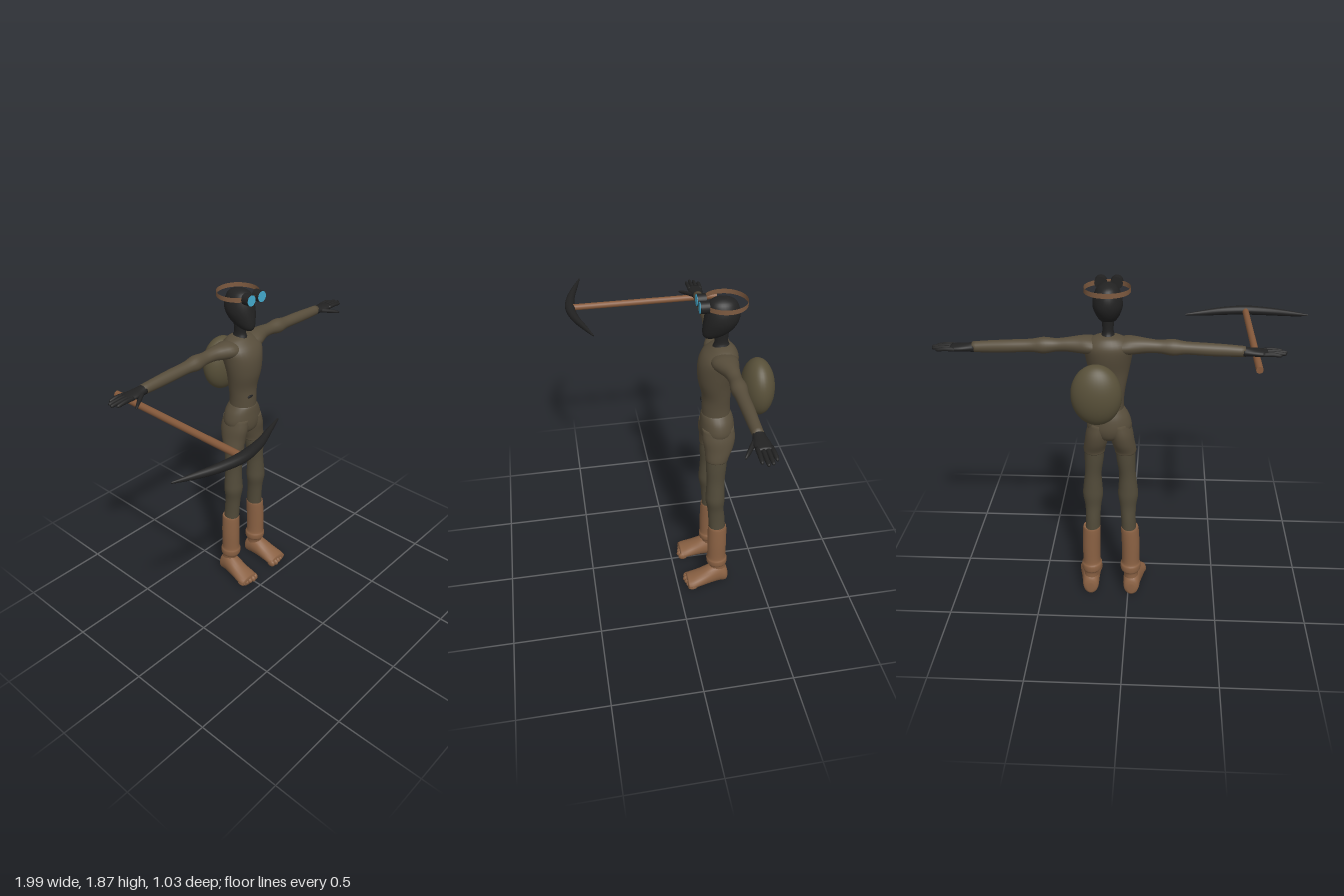
import * as THREE from 'three';

const CX = 0.098; // the figure stands off-centre because of its pickaxe

const mat = (name, color, side = THREE.FrontSide) => {
  const m = new THREE.MeshStandardMaterial({ color, side });
  m.name = name;
  return m;
};

// Smooth capped loft. Each section is [w, cu, cv, ru, rv], w increasing.
// axis y: u = z, v = x; axis x: u = y, v = z; axis z: u = x, v = y.
function loft(axis, sections, seg = 20, sub = 4) {
  const curve = (f) => new THREE.CatmullRomCurve3(sections.map(f), false, 'catmullrom', 0.5);
  const centres = curve((s) => new THREE.Vector3(s[0], s[1], s[2]));
  const radii = curve((s) => new THREE.Vector3(s[3], s[4], 0));
  const n = (sections.length - 1) * sub;
  const pos = [], idx = [];
  const put = (w, u, v) => {
    if (axis === 'y') pos.push(v, w, u);
    else if (axis === 'x') pos.push(w, u, v);
    else pos.push(u, v, w);
  };
  for (let i = 0; i <= n; i++) {
    const c = centres.getPoint(i / n), r = radii.getPoint(i / n);
    for (let j = 0; j < seg; j++) {
      const a = (j / seg) * Math.PI * 2;
      put(c.x, c.y + Math.cos(a) * r.x, c.z + Math.sin(a) * r.y);
    }
  }
  for (let i = 0; i < n; i++) for (let j = 0; j < seg; j++) {
    const a = i * seg + j, b = i * seg + (j + 1) % seg;
    idx.push(a, b, b + seg, a, b + seg, a + seg);
  }
  const first = sections[0], last = sections[sections.length - 1], top = n * seg;
  const base = (n + 1) * seg;
  put(first[0], first[1], first[2]);
  put(last[0], last[1], last[2]);
  for (let j = 0; j < seg; j++) {
    const k = (j + 1) % seg;
    idx.push(base, k, j, base + 1, top + j, top + k);
  }
  const g = new THREE.BufferGeometry();
  g.setAttribute('position', new THREE.Float32BufferAttribute(pos, 3));
  g.setIndex(idx);
  g.computeVertexNormals();
  return g;
}

// Flip a geometry in x, keeping its faces outward
function mirrored(geo) {
  const g = geo.clone();
  const p = g.attributes.position, ix = g.index;
  for (let i = 0; i < p.count; i++) p.setX(i, -p.getX(i));
  for (let i = 0; i < ix.count; i += 3) {
    const t = ix.getX(i + 1);
    ix.setX(i + 1, ix.getX(i + 2));
    ix.setX(i + 2, t);
  }
  g.computeVertexNormals();
  return g;
}

export function createModel() {
  const model = new THREE.Group();
  const olive = mat('olive cloth', 0x574d3b);
  const legging = mat('legging cloth', 0x514a39);
  const black = mat('black', 0x222222);
  const leather = mat('boot leather', 0x8a6143);
  const wood = mat('wood', 0x85593b);
  const strap = mat('strap leather', 0x7d5a40, THREE.DoubleSide);
  const lensBlue = mat('lens blue', 0x45acd0);
  const packCloth = mat('pack cloth', 0x585039);

  const body = new THREE.Group();
  body.name = 'body';
  body.position.x = CX;
  model.add(body);

  const add = (name, geo, material, parent = body) => {
    const m = new THREE.Mesh(geo, material);
    m.name = name;
    parent.add(m);
    return m;
  };
  const pair = (name, geo, material) => {
    add(name + 'Left', geo, material);
    add(name + 'Right', mirrored(geo), material);
  };

  // Torso and hips
  add('torso', loft('y', [
    [1.17, -0.225, 0, 0.078, 0.076], [1.24, -0.222, 0, 0.076, 0.077], [1.31, -0.222, 0, 0.077, 0.086],
    [1.40, -0.213, 0, 0.09, 0.104], [1.49, -0.222, 0, 0.102, 0.121], [1.55, -0.235, 0, 0.093, 0.128],
    [1.59, -0.245, 0, 0.062, 0.085], [1.607, -0.245, 0, 0.035, 0.035],
  ], 28), olive);
  add('hips', loft('y', [
    [1.01, -0.23, 0, 0.035, 0.03], [1.04, -0.23, 0, 0.078, 0.085], [1.09, -0.232, 0, 0.093, 0.119],
    [1.15, -0.23, 0, 0.09, 0.107], [1.19, -0.225, 0, 0.081, 0.082], [1.20, -0.225, 0, 0.072, 0.072],
  ], 28), olive);
  const navel = add('navel', new THREE.SphereGeometry(1, 12, 8), black);
  navel.scale.set(0.022, 0.008, 0.005);
  navel.position.set(-0.02, 1.265, -0.147);

  // Legs: shorts, leggings, boots
  pair('shorts', loft('y', [
    [0.93, -0.22, 0.084, 0.063, 0.058], [0.95, -0.222, 0.083, 0.066, 0.059], [1.0, -0.231, 0.072, 0.079, 0.062],
    [1.06, -0.232, 0.062, 0.09, 0.062], [1.12, -0.23, 0.05, 0.086, 0.055],
  ]), olive);
  pair('legging', loft('y', [
    [0.42, -0.235, 0.103, 0.048, 0.042], [0.50, -0.23, 0.1, 0.048, 0.041], [0.58, -0.222, 0.098, 0.047, 0.045],
    [0.65, -0.217, 0.098, 0.055, 0.056], [0.71, -0.217, 0.097, 0.053, 0.052], [0.79, -0.217, 0.094, 0.051, 0.046],
    [0.88, -0.218, 0.087, 0.057, 0.052], [0.96, -0.222, 0.083, 0.057, 0.052],
  ]), legging);
  pair('bootShaft', loft('y', [
    [0.08, -0.25, 0.118, 0.045, 0.042], [0.14, -0.243, 0.115, 0.05, 0.042], [0.158, -0.24, 0.112, 0.06, 0.056],
    [0.19, -0.238, 0.112, 0.062, 0.058], [0.215, -0.236, 0.113, 0.055, 0.05], [0.32, -0.235, 0.113, 0.056, 0.051],
    [0.435, -0.235, 0.108, 0.054, 0.05], [0.442, -0.235, 0.108, 0.046, 0.043],
  ]), leather);
  pair('bootFoot', loft('z', [
    [-0.307, 0.118, 0.05, 0.02, 0.03], [-0.293, 0.118, 0.06, 0.043, 0.056], [-0.25, 0.12, 0.076, 0.05, 0.07],
    [-0.2, 0.125, 0.068, 0.054, 0.064], [-0.14, 0.13, 0.051, 0.06, 0.048], [-0.085, 0.133, 0.039, 0.066, 0.035],
    [-0.055, 0.133, 0.036, 0.06, 0.028],
  ]), leather);
  for (let i = 0; i < 5; i++) {
    const toe = new THREE.SphereGeometry(1, 12, 8);
    toe.scale(0.017, 0.025 - i * 0.002, 0.03);
    toe.translate(0.083 + i * 0.025, 0.029, -0.064 - Math.abs(i - 1) * 0.006);
    pair('toe' + (i + 1), toe, leather);
  }

  // Arms
  pair('arm', loft('x', [
    [0.04, 1.545, -0.24, 0.04, 0.07], [0.1, 1.55, -0.24, 0.046, 0.07], [0.15, 1.552, -0.245, 0.043, 0.054],
    [0.2, 1.553, -0.252, 0.037, 0.04], [0.26, 1.55, -0.254, 0.034, 0.034], [0.325, 1.547, -0.254, 0.042, 0.042],
    [0.39, 1.545, -0.254, 0.033, 0.034], [0.5, 1.54, -0.256, 0.033, 0.032], [0.6, 1.536, -0.256, 0.031, 0.029],
    [0.685, 1.533, -0.257, 0.027, 0.027],
  ]), olive);

  // Gloved hands with four fingers and a thumb
  pair('palm', loft('x', [
    [0.675, 1.532, -0.257, 0.026, 0.028], [0.71, 1.531, -0.257, 0.021, 0.034],
    [0.75, 1.53, -0.257, 0.018, 0.041], [0.795, 1.53, -0.259, 0.013, 0.041],
  ], 16), black);
  [0.865, 0.888, 0.895, 0.875].forEach((tip, i) => {
    const z = -0.29 + i * 0.021, end = -0.293 + i * 0.023;
    pair('finger' + (i + 1), loft('x', [
      [0.77, 1.53, z, 0.011, 0.011], [0.82, 1.532, (z + end) / 2, 0.011, 0.011],
      [tip - 0.012, 1.528, end, 0.009, 0.009], [tip, 1.527, end, 0.004, 0.004],
    ], 10), black);
  });
  pair('thumb', loft('x', [
    [0.7, 1.528, -0.24, 0.014, 0.014], [0.745, 1.52, -0.21, 0.012, 0.013],
    [0.785, 1.511, -0.183, 0.01, 0.01], [0.803, 1.506, -0.17, 0.004, 0.005],
  ], 10), black);

  // Neck and head
  add('neck', loft('y', [
    [1.57, -0.24, 0, 0.055, 0.045], [1.6, -0.24, 0, 0.045, 0.036], [1.63, -0.238, 0, 0.035, 0.028],
    [1.7, -0.235, 0, 0.042, 0.034],
  ]), black);
  add('head', loft('y', [
    [1.652, -0.185, 0, 0.03, 0.018], [1.668, -0.197, 0, 0.056, 0.037], [1.7, -0.218, 0, 0.079, 0.057],
    [1.75, -0.235, 0, 0.09, 0.074], [1.8, -0.24, 0, 0.086, 0.071], [1.845, -0.238, 0, 0.069, 0.053],
    [1.865, -0.236, 0, 0.035, 0.026], [1.869, -0.236, 0, 0.006, 0.005],
  ], 28), black);

  // Goggles on a loose headband
  const band = add('headband', new THREE.CylinderGeometry(0.115, 0.115, 0.025, 48, 1, true), strap);
  band.position.set(0, 1.843, -0.25);
  for (const s of [-1, 1]) {
    const rim = add('goggleRim', new THREE.CylinderGeometry(0.031, 0.031, 0.045, 24), black);
    rim.rotation.x = Math.PI / 2;
    rim.position.set(s * 0.04, 1.843, -0.138);
    const lens = add('goggleLens', new THREE.CylinderGeometry(0.029, 0.029, 0.004, 24), lensBlue);
    lens.rotation.x = Math.PI / 2;
    lens.position.set(s * 0.04, 1.843, -0.115);
  }

  // Round backpack
  const pack = add('backpack', new THREE.SphereGeometry(1, 32, 24), packCloth, model);
  pack.scale.set(0.128, 0.16, 0.087);
  pack.position.set(0.146, 1.36, -0.432);

  // Pickaxe
  const pickaxe = new THREE.Group();
  pickaxe.name = 'pickaxe';
  model.add(pickaxe);
  const handle = add('pickaxeHandle', new THREE.CylinderGeometry(0.018, 0.018, 0.86, 20), wood, pickaxe);
  handle.rotation.x = Math.PI / 2;
  handle.position.set(-0.65, 1.488, 0.045);
  add('pickaxeHead', loft('x', [
    [-1, 1.492, 0.4, 0.005, 0.004], [-0.9, 1.49, 0.432, 0.016, 0.014], [-0.78, 1.489, 0.466, 0.023, 0.023],
    [-0.65, 1.489, 0.482, 0.026, 0.028], [-0.52, 1.489, 0.462, 0.023, 0.023],
    [-0.4, 1.49, 0.418, 0.016, 0.014], [-0.3, 1.492, 0.38, 0.005, 0.004],
  ], 16), black, pickaxe);

  return model;
}
